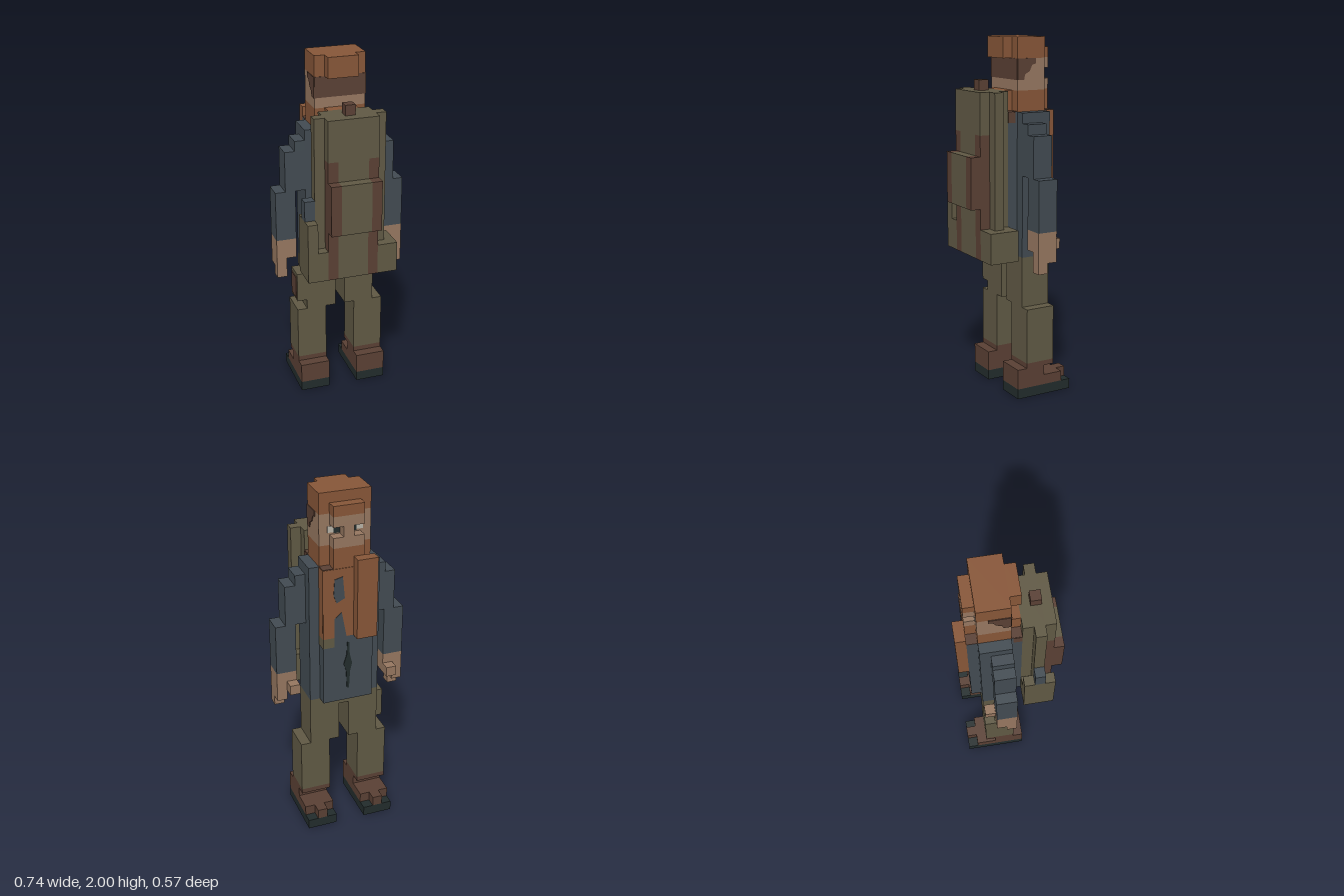
import * as THREE from 'three';

// One block is 1/35 of the figure's height. The figure's face looks toward -z.
const U = 2 / 35;

function makeMaterials() {
  const colors = {
    olive: 0x605944, blueCloth: 0x424b52, brownLeather: 0x5a4034,
    rust: 0x875638, skin: 0x967760, darkRubber: 0x222c2c, eyeWhite: 0xb9b4a8,
  };
  const out = {};
  for (const [name, color] of Object.entries(colors)) {
    out[name] = new THREE.MeshStandardMaterial({ color });
    out[name].name = name;
  }
  return out;
}

export function createModel() {
  const M = makeMaterials();
  const model = new THREE.Group();
  model.name = 'hiker';

  const part = (name) => {
    const g = new THREE.Group();
    g.name = name;
    model.add(g);
    return g;
  };

  // Box between two corners, in blocks
  const box = (g, name, mat, [x0, x1], [y0, y1], [z0, z1]) => {
    const geo = new THREE.BoxGeometry((x1 - x0) * U, (y1 - y0) * U, (z1 - z0) * U);
    const mesh = new THREE.Mesh(geo, mat);
    mesh.name = name;
    mesh.position.set((x0 + x1) / 2 * U, (y0 + y1) / 2 * U, (z0 + z1) / 2 * U);
    g.add(mesh);
    return mesh;
  };

  // The same box on both sides of the body
  const pair = (g, name, mat, [x0, x1], y, z) => {
    box(g, name + 'Left', mat, [x0, x1], y, z);
    box(g, name + 'Right', mat, [-x1, -x0], y, z);
  };

  // Flat painted shape, extruded slightly
  const plate = (g, name, mat, pts, place) => {
    const shape = new THREE.Shape(pts.map(([a, b]) => new THREE.Vector2(a * U, b * U)));
    const geo = new THREE.ExtrudeGeometry(shape, { depth: 0.004, bevelEnabled: false });
    const mesh = new THREE.Mesh(geo, mat);
    mesh.name = name;
    place(mesh);
    g.add(mesh);
  };

  // Boots
  const boots = part('boots');
  pair(boots, 'sole', M.darkRubber, [1.5, 4.5], [0, 1], [-5, 1]);
  pair(boots, 'bootFoot', M.brownLeather, [1.5, 4.5], [1, 2], [-4, 1]);
  pair(boots, 'toeCap', M.brownLeather, [2.5, 3.5], [1, 2], [-5, -4]);
  pair(boots, 'bootAnkle', M.brownLeather, [1.5, 4.5], [2, 3], [-2, 1]);
  pair(boots, 'bootCuff', M.brownLeather, [1.5, 4.5], [3, 3.5], [-3, 0]);

  // Trousers and holster
  const trousers = part('trousers');
  pair(trousers, 'lowerLeg', M.olive, [1.5, 4.5], [3.5, 9], [-3, 0]);
  pair(trousers, 'upperLeg', M.olive, [0.5, 3.5], [9, 13], [-3, 0]);
  box(trousers, 'hips', M.olive, [-3.5, 3.5], [13, 14], [-3, 0]);
  box(trousers, 'holster', M.olive, [-4.5, -3.5], [10, 13], [-2, 0]);
  box(trousers, 'holsterFlap', M.brownLeather, [-4.58, -4.5], [10.3, 12.6], [-1.8, -0.2]);

  // Jacket
  const jacket = part('jacket');
  box(jacket, 'jacketCore', M.blueCloth, [-3.5, 3.5], [14, 28], [-3, 0]);
  box(jacket, 'jacketFront', M.blueCloth, [-2.5, 2.5], [14, 28], [-4, -3]);
  box(jacket, 'jacketBack', M.blueCloth, [-2.5, 2.5], [14, 28], [0, 1]);
  pair(jacket, 'frontStrapTop', M.brownLeather, [1.5, 2.5], [28, 28.06], [-4, -3]);
  pair(jacket, 'backStrapTop', M.brownLeather, [1.5, 2.5], [28, 28.06], [0, 1]);
  pair(jacket, 'strapSide', M.brownLeather, [2.5, 2.54], [27, 28], [0.2, 1]);

  // Painted jacket front: zip, open lapel and shirt
  const front = (z) => (m) => { m.position.z = -4 * U - z; };
  plate(jacket, 'zip', M.darkRubber,
    [[-0.1, 15.3], [0.1, 15.3], [0.2, 17.2], [0.45, 18], [0.15, 19], [0.1, 20.3], [-0.1, 20.3], [-0.15, 19], [-0.4, 18], [-0.2, 17.2]],
    front(0.004));
  plate(jacket, 'scarfOnChest', M.rust, [[-0.5, 21], [2.5, 21], [2.5, 28], [-0.5, 28]], front(0.003));
  plate(jacket, 'lapelUpper', M.blueCloth, [[0.4, 25], [1.2, 24.6], [1.5, 25.4], [1.4, 27], [0.6, 27.2]], front(0.006));
  plate(jacket, 'lapelLower', M.blueCloth, [[0.2, 21], [1.4, 21], [1.4, 23], [0.7, 23.6]], front(0.006));
  plate(jacket, 'shirtTip', M.olive, [[1.4, 20], [2.5, 20], [2.5, 21], [1.4, 21]], front(0.003));
  box(jacket, 'scarfSide', M.rust, [2.5, 2.54], [21, 28], [-4, -3]);
  box(jacket, 'shirtTipSide', M.olive, [2.5, 2.54], [20, 21], [-4, -3]);

  // Arms and hands
  const arms = part('arms');
  pair(arms, 'shoulder', M.blueCloth, [3.5, 4.5], [26, 27], [-2, 0]);
  pair(arms, 'upperArm', M.blueCloth, [3.5, 5.5], [22, 26], [-2, 0]);
  pair(arms, 'forearm', M.blueCloth, [4.5, 6.5], [17, 22], [-2, 0]);
  pair(arms, 'hand', M.skin, [4.5, 6.5], [15, 17], [-2, 0]);
  pair(arms, 'thumb', M.skin, [4.5, 5.5], [15, 16], [-3, -2]);
  pair(arms, 'fingers', M.skin, [5.5, 6.5], [14, 15], [-2, 0]);
  pair(arms, 'fingertip', M.skin, [5.5, 6.5], [13, 14], [-1, 0]);

  // Scarf
  const scarf = part('scarf');
  box(scarf, 'scarfWrap', M.rust, [-2.5, 2.5], [28, 30], [-3, 0]);
  box(scarf, 'scarfFront', M.rust, [-1.5, 1.5], [28, 30], [-4, -3]);
  box(scarf, 'scarfBack', M.rust, [-1.5, 1.5], [28, 30], [0, 1]);
  box(scarf, 'scarfTail', M.rust, [-2.5, -0.5], [21, 29], [-5, -4]);

  // Head and face
  const head = part('head');
  box(head, 'skull', M.skin, [-2.5, 2.5], [30, 33], [-3, 0]);
  box(head, 'chin', M.skin, [-1.5, 1.5], [30, 31], [-4, -3]);
  box(head, 'nose', M.skin, [-0.5, 0.5], [31, 32], [-4, -3]);
  box(head, 'brow', M.skin, [-1.5, 1.5], [32, 33], [-4, -3]);
  pair(head, 'eyeWhite', M.eyeWhite, [1.1, 1.7], [31.2, 31.8], [-3.06, -3]);
  pair(head, 'pupil', M.darkRubber, [0.5, 1.1], [31.1, 31.9], [-3.06, -3]);

  // Hair
  box(head, 'hairBack', M.brownLeather, [-2.5, 2.5], [31, 33], [0, 0.06]);
  const hair = [[0, 31], [0.7, 31], [0.8, 31.5], [1.3, 31.8], [1.6, 32.4], [2, 32.5], [2, 33], [0, 33]];
  for (const side of [1, -1]) {
    plate(head, side > 0 ? 'hairLeft' : 'hairRight', M.brownLeather, hair, (m) => {
      m.rotation.y = Math.PI / 2;
      m.position.x = side > 0 ? 2.5 * U : -2.5 * U - 0.004;
    });
  }

  // Cap
  const cap = part('cap');
  box(cap, 'capCrown', M.rust, [-2.5, 2.5], [33, 35], [-3, 0]);
  box(cap, 'capBack', M.rust, [-1.5, 1.5], [33, 35], [0, 1]);
  box(cap, 'capBrim', M.rust, [-1.5, 1.5], [33, 34], [-4, -3]);

  // Backpack
  const pack = part('backpack');
  box(pack, 'packBody', M.olive, [-2.5, 2.5], [14, 30], [1, 3]);
  box(pack, 'packPanel', M.olive, [-1.5, 1.5], [14, 30], [3, 4]);
  pair(pack, 'packStrap', M.brownLeather, [1.5, 2.5], [14, 26], [3, 4]);
  pair(pack, 'packCorner', M.olive, [1.5, 2.5], [26, 30], [3, 4]);
  pair(pack, 'packSide', M.olive, [2.5, 3.5], [17, 30], [2, 3]);
  pair(pack, 'sidePouch', M.olive, [2.5, 4.5], [14, 17], [1, 4]);
  box(pack, 'tallPouch', M.olive, [-4.5, -3.5], [17, 20], [1, 4]);
  box(pack, 'bottle', M.blueCloth, [-4.5, -3.5], [20, 22], [2, 3]);
  box(pack, 'pocket', M.olive, [-1.5, 1.5], [19, 24], [4, 5]);
  pair(pack, 'pocketStrap', M.brownLeather, [1.5, 2.5], [19, 24], [4, 5]);
  box(pack, 'handle', M.brownLeather, [-0.5, 0.5], [30, 31], [2, 3]);

  return model;
}
